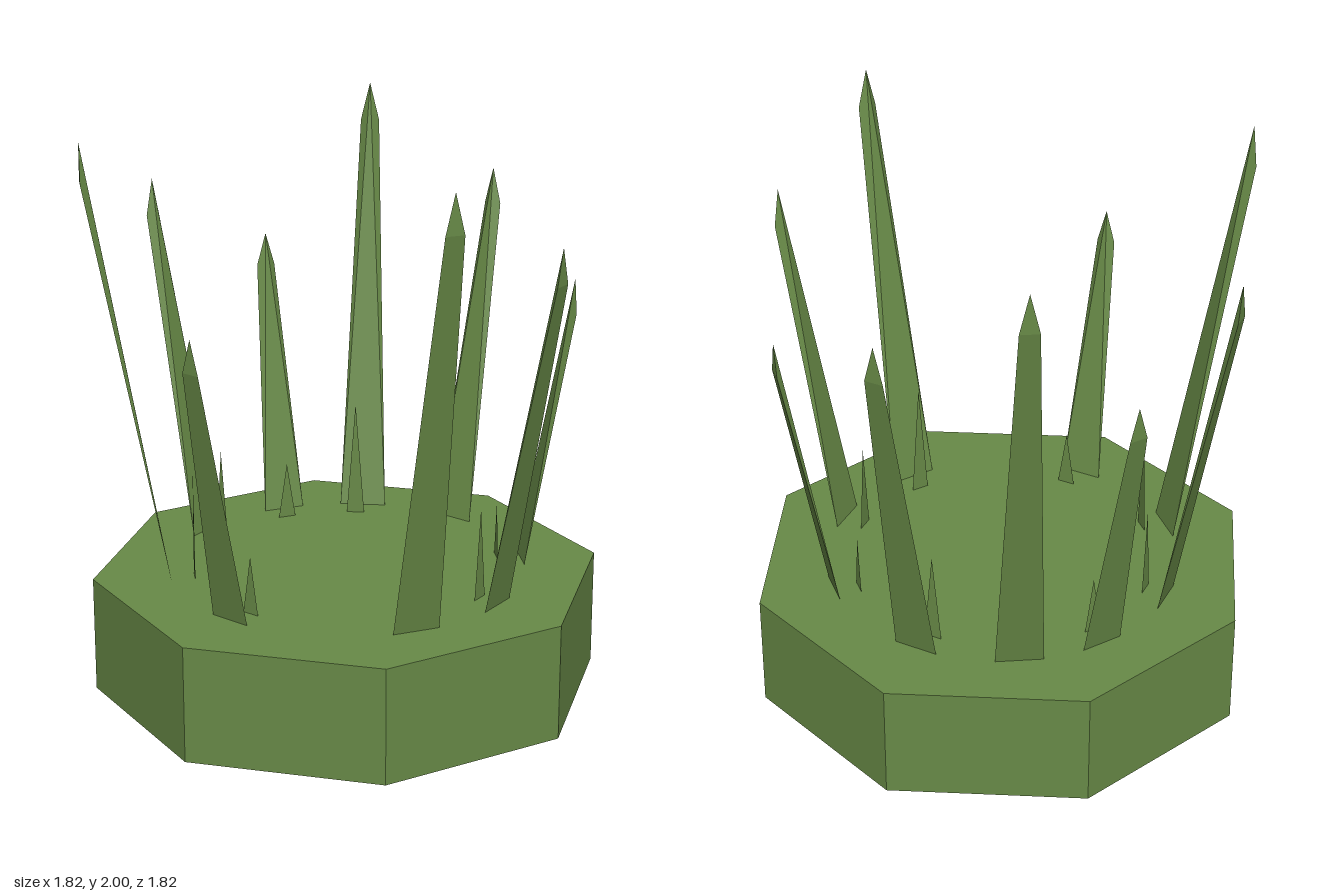
import * as THREE from 'three';

const TOP = 0.42; // height of the base
const ROOT = 0.635; // ring radius where the blades grow

const green = new THREE.MeshStandardMaterial({ color: 0x688a47, side: THREE.DoubleSide });
green.name = 'leafGreen';

// Flat-shaded geometry from corner points and triangles
function faceted(points, faces) {
  const geo = new THREE.BufferGeometry();
  geo.setAttribute('position', new THREE.Float32BufferAttribute(faces.flat().flatMap((i) => points[i]), 3));
  geo.computeVertexNormals();
  return geo;
}

// Tall blade leaning outward along +x: flat back, narrow shoulders, pointed tip
function bladeGeometry(height, tipLength, halfWidth) {
  const shoulder = height - tipLength;
  const r = ROOT + (shoulder - TOP) * 0.191;
  const n = 0.034;
  return faceted(
    [[ROOT, TOP, -halfWidth], [ROOT, TOP, halfWidth], [r, shoulder, -n], [r, shoulder, n], [r, height, 0]],
    [[1, 0, 2], [1, 2, 3], [3, 2, 4], [0, 1, 4], [1, 3, 4], [2, 0, 4]]
  );
}

// Small upright triangular sprout just inside each blade
function sproutGeometry(height) {
  const r = 0.55, w = 0.033, off = -0.02;
  return faceted([[r, TOP, off + w], [r, TOP, off - w], [r, height, off]], [[0, 1, 2]]);
}

const SIZES = {
  tall: { height: 2.0, tip: 0.14, half: 0.085, sprout: 0.85 },
  medium: { height: 1.73, tip: 0.13, half: 0.08, sprout: 0.75 },
  short: { height: 1.46, tip: 0.12, half: 0.077, sprout: 0.63 },
};

// Direction of each blade in degrees, from +x towards +z
const BLADES = [
  [0, 'short'], [43, 'medium'], [76.4, 'tall'], [137, 'short'], [180, 'tall'],
  [-137, 'medium'], [-104, 'short'], [-76.4, 'tall'], [-43, 'medium'],
];

export function createModel() {
  const model = new THREE.Group();
  model.name = 'grassTuft';

  // Octagonal base
  const baseGeo = new THREE.CylinderGeometry(0.91, 0.91, TOP, 8).toNonIndexed();
  baseGeo.computeVertexNormals();
  const base = new THREE.Mesh(baseGeo, green);
  base.name = 'base';
  base.position.y = TOP / 2;
  model.add(base);

  // Ring of blades, each with its sprout
  for (const [degrees, size] of BLADES) {
    const s = SIZES[size];
    const tuft = new THREE.Group();
    tuft.name = size + 'Tuft';
    const blade = new THREE.Mesh(bladeGeometry(s.height, s.tip, s.half), green);
    blade.name = 'blade';
    const sprout = new THREE.Mesh(sproutGeometry(s.sprout), green);
    sprout.name = 'sprout';
    tuft.add(blade, sprout);
    tuft.rotation.y = -THREE.MathUtils.degToRad(degrees);
    model.add(tuft);
  }
  return model;
}
